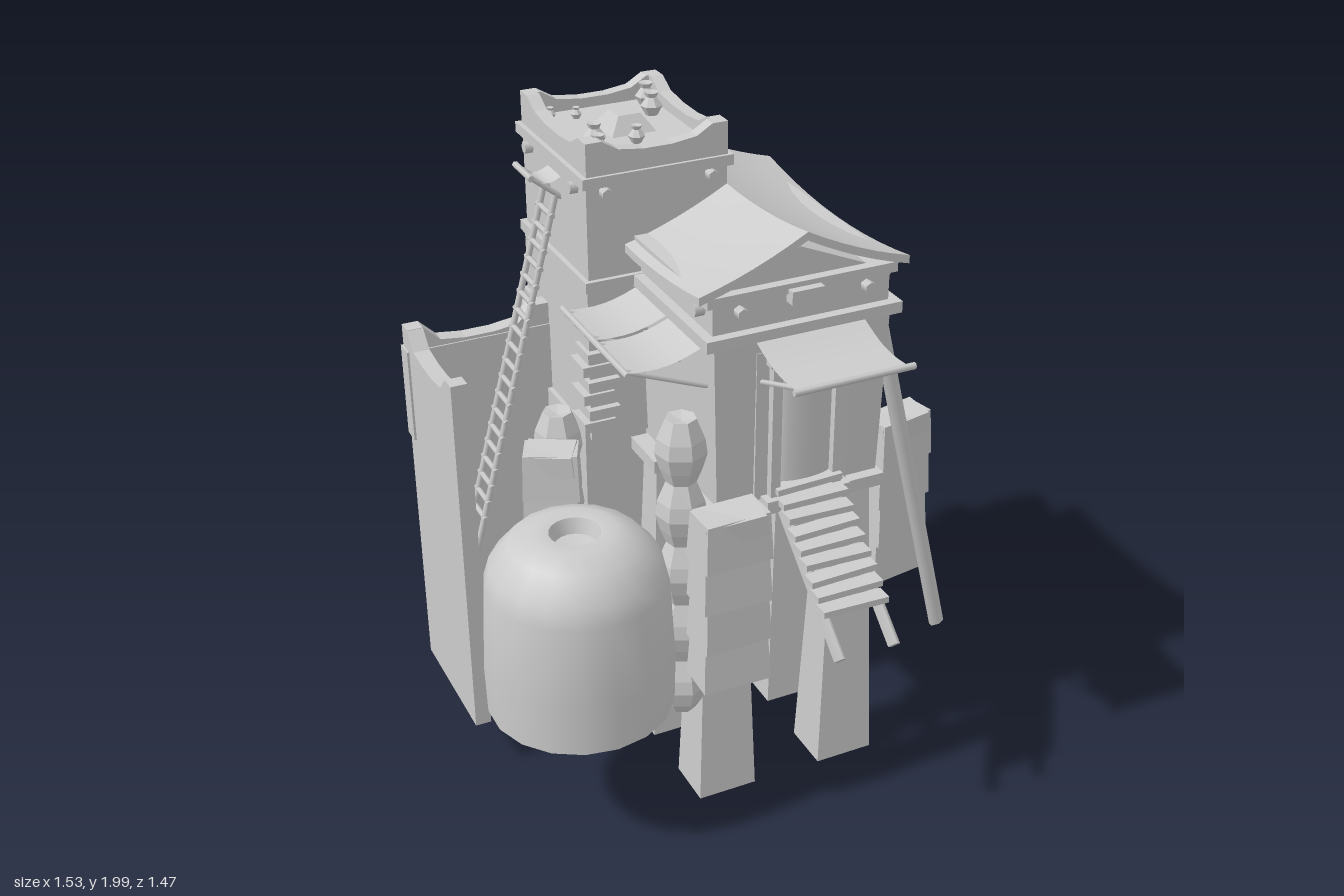
import * as THREE from 'three';
import { toCreasedNormals } from 'three/addons/utils/BufferGeometryUtils.js';

const mat = new THREE.MeshStandardMaterial({ color: 0xcccccc, side: THREE.DoubleSide });
const flat = new THREE.MeshStandardMaterial({ color: 0xcccccc, flatShading: true });
const V = (x, y, z) => new THREE.Vector3(x, y, z);

export function createModel() {
  const root = new THREE.Group();

  const add = (name, geo, x = 0, y = 0, z = 0, material = mat, parent = root) => {
    const m = new THREE.Mesh(geo, material);
    m.name = name;
    m.position.set(x, y, z);
    parent.add(m);
    return m;
  };
  // box given by its limits
  const box = (name, x0, x1, y0, y1, z0, z1) =>
    add(name, new THREE.BoxGeometry(x1 - x0, y1 - y0, z1 - z0), (x0 + x1) / 2, (y0 + y1) / 2, (z0 + z1) / 2);
  // box whose top is scaled, standing on y = 0
  const taper = (w, h, d, sx, sz = sx) => {
    const g = new THREE.BoxGeometry(w, h, d).translate(0, h / 2, 0);
    const p = g.attributes.position;
    for (let i = 0; i < p.count; i++)
      if (p.getY(i) > h / 2) p.setXYZ(i, p.getX(i) * sx, h, p.getZ(i) * sz);
    g.computeVertexNormals();
    return g;
  };
  // round pole between two points
  const pole = (name, a, b, r, sides = 6) => {
    const m = add(name, new THREE.CylinderGeometry(r, r, a.distanceTo(b), sides));
    m.position.copy(a).lerp(b, 0.5);
    m.quaternion.setFromUnitVectors(V(0, 1, 0), b.clone().sub(a).normalize());
    return m;
  };
  // upright wall panel with a worn, dipped top edge
  const dippedWall = (name, len, y0, yTop, yDip, thick, x, z, turn = 0) => {
    const h = len / 2, s = new THREE.Shape();
    s.moveTo(-h, y0);
    s.lineTo(h, y0);
    for (const [u, y] of [[1, yTop], [0.78, yTop], [0.55, yDip + 0.01], [0.2, yDip], [-0.2, yDip], [-0.55, yDip + 0.01], [-0.78, yTop], [-1, yTop]])
      s.lineTo(u * h, y);
    const g = new THREE.ExtrudeGeometry(s, { depth: thick, bevelEnabled: false }).translate(0, 0, -thick / 2);
    add(name, g, x, 0, z).rotation.y = turn;
  };

  // six splayed legs with capitals
  for (const x of [-0.055, 0.36])
    for (const z of [0.265, -0.08, -0.425]) {
      add('leg', taper(0.19, 1.0, 0.16, 0.63, 0.56), x, 0, z);
      box('legCapital', x - 0.085, x + 0.085, 0.99, 1.03, z - 0.085, z + 0.085);
    }

  // raised hall
  add('hallBody', taper(0.52, 0.54, 0.79, 1.06, 1.02), 0.175, 1.01, -0.08);
  box('hallCornice', -0.13, 0.48, 1.54, 1.575, -0.5, 0.34);
  box('hallAttic', -0.1, 0.45, 1.575, 1.67, -0.48, 0.31);
  box('atticRail', -0.12, 0.47, 1.66, 1.69, -0.48, 0.32);

  // sagging gable roof
  const roof = new THREE.BoxGeometry(0.65, 0.025, 0.84, 12, 1, 10);
  const rp = roof.attributes.position;
  for (let i = 0; i < rp.count; i++) {
    const t = Math.abs(rp.getX(i)) / 0.325, v = rp.getZ(i) / 0.42;
    rp.setY(i, rp.getY(i) + 1.825 - 0.13 * (1.35 * t - 0.35 * t * t) - 0.04 * (1 - v * v));
  }
  roof.computeVertexNormals();
  add('roof', toCreasedNormals(roof, 0.6), 0.175, 0, -0.09);
  const gable = new THREE.Shape([new THREE.Vector2(-0.28, 1.66), new THREE.Vector2(0.28, 1.66), new THREE.Vector2(0, 1.78)]);
  add('gable', new THREE.ExtrudeGeometry(gable, { depth: 0.74, bevelEnabled: false }), 0.175, 0, -0.45);

  // vents and beam ends on the hall
  box('frontVent', 0.125, 0.225, 1.635, 1.675, 0.3, 0.345);
  box('sideVent', 0.44, 0.48, 1.595, 1.665, -0.005, 0.09);
  for (const x of [-0.02, 0.375]) pole('beamEnd', V(x, 1.635, 0.28), V(x, 1.635, 0.34), 0.018);
  for (const z of [0.25, -0.25, -0.42]) pole('beamEnd', V(-0.13, 1.635, z), V(0.48, 1.635, z), 0.02);

  // doorway with hanging curtain
  box('doorPanel', 0.03, 0.33, 1.03, 1.5, 0.3, 0.325);
  for (const x of [0.085, 0.285]) box('doorPost', x - 0.015, x + 0.015, 1.03, 1.48, 0.31, 0.35);
  box('doorLintel', 0.06, 0.31, 1.46, 1.49, 0.31, 0.355);
  box('doorSill', 0.05, 0.32, 1.0, 1.04, 0.3, 0.37);
  add('doorCurtain', new THREE.CylinderGeometry(0.085, 0.085, 0.36, 12, 1, true, -Math.PI / 2, Math.PI).scale(1, 1, 0.3), 0.185, 1.26, 0.325);

  // cloth awnings: far edge a rod, held by struts; built along +z then turned
  const awning = (name, w, depth, drop, strutDrop, x, y, z, turn) => {
    const g = new THREE.Group();
    g.name = name;
    const cloth = new THREE.PlaneGeometry(w, depth, 4, 8).rotateX(-Math.PI / 2).translate(0, 0, depth / 2);
    const p = cloth.attributes.position;
    for (let i = 0; i < p.count; i++) {
      const t = p.getZ(i) / depth;
      p.setY(i, -drop * t - 0.022 * Math.sin(Math.PI * t));
    }
    cloth.computeVertexNormals();
    add('cloth', cloth, 0, 0, 0, mat, g);
    g.add(pole('awningRod', V(-w / 2 - 0.015, -drop, depth), V(w / 2 + 0.015, -drop, depth), 0.01));
    for (const s of [-1, 1])
      g.add(pole('awningStrut', V(s * w * 0.42, -drop, depth), V(s * w * 0.42, -strutDrop, 0), 0.008));
    g.position.set(x, y, z);
    g.rotation.y = turn;
    root.add(g);
  };
  awning('frontAwning', 0.34, 0.26, 0.04, 0.14, 0.19, 1.55, 0.325, 0);
  awning('sideAwning', 0.21, 0.25, 0.04, 0.14, -0.1, 1.55, 0.19, -Math.PI / 2);
  awning('sideAwning', 0.21, 0.25, 0.04, 0.14, -0.1, 1.55, -0.035, -Math.PI / 2);
  awning('towerAwning', 0.1, 0.1, -0.01, 0.07, -0.26, 1.83, -0.4, -Math.PI / 2);
  awning('backAwning', 0.1, 0.06, 0.04, 0.06, -0.05, 1.85, -0.65, Math.PI);

  // tower
  add('towerBase', taper(0.53, 1.06, 0.51, 0.98), -0.025, 0.02, -0.425);
  box('towerShaft', -0.27, 0.18, 1.05, 1.56, -0.66, -0.16);
  box('towerUpper', -0.265, 0.175, 1.56, 1.92, -0.65, -0.16);
  for (const y of [1.56, 1.875]) box('towerLedge', -0.28, 0.19, y - 0.016, y + 0.016, -0.67, -0.145);
  for (const [z, t] of [[-0.635, 0], [-0.175, 0]]) dippedWall('parapet', 0.44, 1.88, 1.99, 1.95, 0.04, -0.045, z, t);
  for (const x of [-0.245, 0.155]) dippedWall('parapet', 0.5, 1.88, 1.99, 1.95, 0.04, x, -0.405, Math.PI / 2);
  for (const x of [-0.21, 0.12]) pole('towerBeamEnd', V(x, 1.84, -0.68), V(x, 1.84, -0.13), 0.018);
  for (const z of [-0.58, -0.23]) pole('towerBeamEnd', V(-0.29, 1.84, z), V(0.2, 1.84, z), 0.018);
  // stacked stones on the rear corners
  for (const [x, z] of [[-0.245, -0.63], [0.15, -0.63], [-0.245, -0.2]])
    for (let i = 0; i < 6; i++)
      add('cornerStone', new THREE.BoxGeometry(0.1, 0.032, 0.1), x + (i % 2) * 0.012, 1.1 + i * 0.047, z + (i % 2) * 0.012);

  // jars and a draped crate on the tower top
  const jar = new THREE.LatheGeometry([[0, 0], [0.018, 0], [0.034, 0.03], [0.015, 0.055], [0.022, 0.07], [0, 0.066]].map(p => new THREE.Vector2(...p)), 7);
  for (const [x, z, s] of [[0.1, -0.56, 1], [0.08, -0.475, 1], [-0.175, -0.305, 1], [-0.195, -0.23, 0.9], [-0.055, -0.28, 0.75], [-0.205, -0.57, 0.5], [-0.135, -0.54, 0.5]])
    add('jar', jar, x, 1.92, z, flat).scale.setScalar(s);
  add('drapedCrate', taper(0.14, 0.05, 0.14, 0.5), -0.035, 1.92, -0.41);

  // L-shaped side wall
  dippedWall('sideWallBack', 0.45, 0.17, 1.37, 1.31, 0.05, -0.495, -0.51);
  dippedWall('sideWallLeft', 0.445, 0.17, 1.37, 1.31, 0.05, -0.695, -0.3125, Math.PI / 2);
  box('wallBand', -0.727, -0.27, 1.0, 1.3, -0.54, -0.48);

  // long ladder up to the tower
  const lo = V(-0.71, 0.19, 0), hi = V(-0.28, 1.77, 0);
  for (const z of [-0.45, -0.36]) pole('ladderRail', lo.clone().setZ(z), hi.clone().setZ(z), 0.01);
  for (let i = 0; i < 19; i++) {
    const p = lo.clone().lerp(hi, 0.35 + i * 0.034);
    pole('ladderRung', p.clone().setZ(-0.465), p.clone().setZ(-0.345), 0.009);
  }

  // front steps
  for (const x of [0.105, 0.28]) pole('stepRail', V(x, 0.7, 0.72), V(x, 1.03, 0.33), 0.02, 4);
  for (let i = 0; i < 9; i++)
    add('step', new THREE.BoxGeometry(0.21, 0.02, 0.05), 0.19, 0.815 + i * 0.031, 0.63 - i * 0.036).rotation.z = (i % 3 - 1) * 0.03;

  // leaning props
  for (const z of [0.245, -0.1, -0.415])
    pole('leaningProp', V(0.45, 1.54, z), V(0.745, 0.335, z), 0.026, 6).scale.z = 0.6;

  // domed basket with dimpled crown
  const dome = [[0, 0.44], [0.278, 0.44], [0.282, 0.6], [0.268, 0.86], [0.25, 0.92], [0.19, 0.99], [0.12, 1.02], [0.075, 1.015], [0.06, 0.97], [0, 0.96]];
  add('basket', toCreasedNormals(new THREE.LatheGeometry(dome.map(p => new THREE.Vector2(...p)), 18), 0.7), -0.49, 0, 0.235);

  // strings of hanging jars
  const hangingJars = (x, z, n) => {
    const pts = [[0, 0], [0.042, 0]];
    for (let i = 0; i < n; i++) pts.push([0.062, i * 0.2 + 0.035], [0.076, i * 0.2 + 0.085], [0.07, i * 0.2 + 0.13], [0.045, i * 0.2 + 0.19]);
    pts.push([0, n * 0.2 - 0.02]);
    add('hangingJars', new THREE.LatheGeometry(pts.map(p => new THREE.Vector2(...p)), 7), x, 0.36, z, flat);
  };
  hangingJars(0.55, 0.01, 4);
  hangingJars(0.55, -0.22, 4);
  hangingJars(-0.36, -0.21, 4);
  hangingJars(-0.195, 0.31, 5);

  // strings of hanging bales
  const hangingBales = (x, y0, z, w, d, h, n, turn) => {
    for (let i = 0; i < n; i++)
      add('hangingBale', taper(w, h + 0.012, d, 0.94, 0.84), x, y0 + i * h, z, flat).rotation.y = turn + (i % 2) * 0.06;
    const lid = add('baleLid', taper(w * 0.9, h * 0.5, d * 0.9, 0.95), x, y0 + n * h - h * 0.4, z, flat);
    lid.rotation.set(0.08, turn - 0.05, 0.08);
  };
  hangingBales(-0.11, 0.54, 0.45, 0.21, 0.13, 0.137, 4, -0.03);
  hangingBales(0.6, 0.54, 0.16, 0.2, 0.115, 0.137, 4, 0.15);
  hangingBales(-0.43, 0.54, -0.09, 0.17, 0.12, 0.137, 4, -0.5);
  hangingBales(-0.49, 0.54, -0.655, 0.25, 0.135, 0.137, 4, 0.02);
  hangingBales(0.4, 0.31, -0.62, 0.31, 0.17, 0.167, 5, 0);
  const topBale = add('topBale', new THREE.BoxGeometry(0.16, 0.08, 0.16), 0.49, 1.19, -0.625);
  topBale.rotation.set(0, -0.6, 0.1);
  box('baleBracket', 0.17, 0.28, 1.1, 1.15, -0.6, -0.51);

  return root;
}
